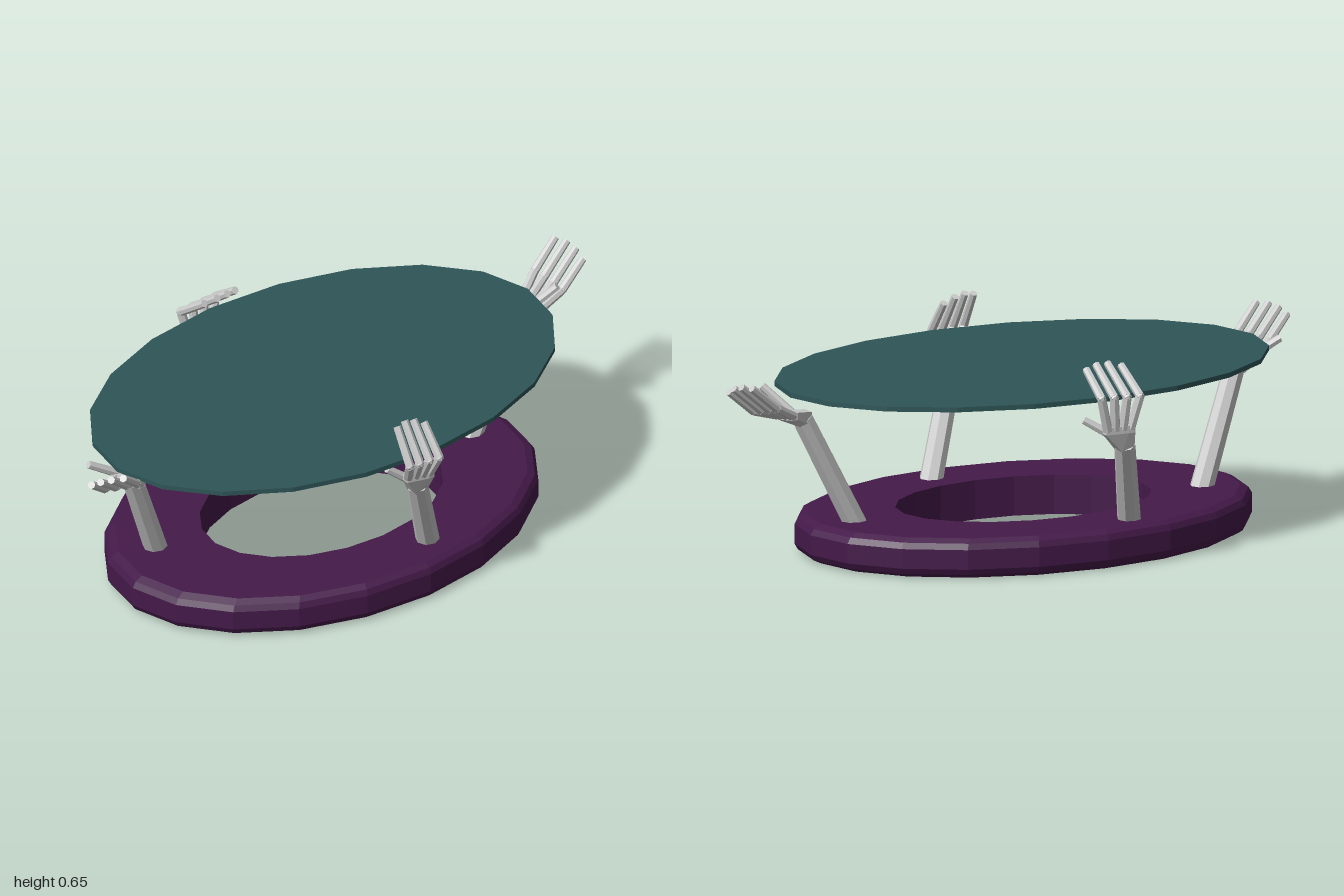
import * as THREE from 'three';
import { ConvexGeometry } from 'three/addons/geometries/ConvexGeometry.js';

const V = (p) => new THREE.Vector3(...p);
const material = (color) => new THREE.MeshStandardMaterial({ color, flatShading: true });

function add(parent, name, geometry, mat) {
  const mesh = new THREE.Mesh(geometry, mat);
  mesh.name = name;
  parent.add(mesh);
  return mesh;
}

// tapered rod between two points
function rod(parent, name, a, b, r0, r1, sides, mat) {
  const dir = b.clone().sub(a);
  const mesh = add(parent, name, new THREE.CylinderGeometry(r1, r0, dir.length(), sides), mat);
  mesh.position.copy(a).addScaledVector(dir, 0.5);
  mesh.quaternion.setFromUnitVectors(new THREE.Vector3(0, 1, 0), dir.normalize());
  return mesh;
}

// corners of a small box around a point, used to hull the palm
function corners(p, r) {
  const out = [];
  for (const x of [-r, r]) for (const y of [-r, r]) for (const z of [-r, r]) {
    out.push(p.clone().add(new THREE.Vector3(x, y, z)));
  }
  return out;
}

// knuckles, bends and tips each give the index finger and the little finger;
// the two fingers between are interpolated
const ARMS = [
  { name: 'frontArm', base: [0.075, 0.08, 0.37], wrist: [-0.06, 0.4, 0.475], thumb: [-0.165, 0.485, 0.46],
    knuckles: [[-0.115, 0.455, 0.5], [-0.045, 0.45, 0.515]],
    bends: [[-0.15, 0.53, 0.55], [-0.045, 0.525, 0.56]],
    tips: [[-0.15, 0.64, 0.49], [-0.05, 0.62, 0.495]] },
  { name: 'backArm', base: [-0.185, 0.08, -0.375], wrist: [-0.08, 0.385, -0.525], thumb: [0.035, 0.46, -0.48],
    knuckles: [[-0.01, 0.435, -0.545], [-0.085, 0.435, -0.55]],
    bends: [[0.02, 0.54, -0.56], [-0.11, 0.535, -0.565]],
    tips: [[0.015, 0.61, -0.46], [-0.105, 0.61, -0.46]] },
  { name: 'leftArm', base: [0.53, 0.08, 0], wrist: [0.735, 0.455, -0.01], thumb: [0.83, 0.55, 0.065],
    knuckles: [[0.795, 0.465, 0.025], [0.79, 0.475, -0.05]],
    bends: [[0.89, 0.49, 0.015], [0.87, 0.515, -0.09]],
    tips: [[0.98, 0.56, 0.005], [0.965, 0.59, -0.105]] },
  { name: 'rightArm', base: [-0.575, 0.08, -0.115], wrist: [-0.74, 0.455, -0.045], thumb: [-0.88, 0.53, -0.075],
    knuckles: [[-0.81, 0.47, -0.035], [-0.77, 0.475, 0.035]],
    bends: [[-0.9, 0.5, 0.025], [-0.835, 0.525, 0.095]],
    tips: [[-0.985, 0.565, 0.065], [-0.92, 0.595, 0.135]] },
];

function makeArm(spec, mat) {
  const arm = new THREE.Group();
  arm.name = spec.name;
  const wrist = V(spec.wrist);
  const at = (pair, t) => V(pair[0]).lerp(V(pair[1]), t);
  rod(arm, 'forearm', V(spec.base), wrist, 0.037, 0.033, 8, mat);

  // palm widening from wrist to knuckles
  add(arm, 'palm', new ConvexGeometry([
    ...corners(wrist, 0.021),
    ...corners(at(spec.knuckles, 0), 0.011),
    ...corners(at(spec.knuckles, 1), 0.011),
  ]), mat);

  // four fingers, each bent once, the middle ones longest
  for (let i = 0; i < 4; i++) {
    const t = i / 3;
    const knuckle = at(spec.knuckles, t), bend = at(spec.bends, t), tip = at(spec.tips, t);
    const reach = tip.clone().sub(bend);
    tip.addScaledVector(reach, 0.13 * Math.sin(Math.PI * t));
    rod(arm, 'fingerLower', knuckle, bend, 0.015, 0.014, 7, mat);
    rod(arm, 'fingerUpper', bend, tip, 0.014, 0.012, 7, mat);
    const joint = add(arm, 'fingerJoint', new THREE.IcosahedronGeometry(0.0145, 0), mat);
    joint.position.copy(bend);
  }
  rod(arm, 'thumb', wrist.clone().lerp(at(spec.knuckles, 0), 0.25), V(spec.thumb), 0.015, 0.012, 7, mat);
  return arm;
}

export function createModel() {
  const model = new THREE.Group();
  model.name = 'ovalTable';
  const purple = material(0x451a4a);
  const teal = material(0x2f5658);
  const grey = material(0xcccccc);

  // oval base ring with chamfered outer edges
  const profile = [
    [0.56, 0], [0.95, 0], [0.985, 0.012], [1, 0.03], [1, 0.09], [0.985, 0.108], [0.95, 0.12], [0.56, 0.12], [0.56, 0],
  ].map(([r, y]) => new THREE.Vector2(r, y));
  const base = add(model, 'baseRing', new THREE.LatheGeometry(profile, 20), purple);
  base.scale.set(0.735, 1, 0.51);
  base.position.x = -0.035;

  // thin oval top
  const top = add(model, 'tableTop', new THREE.CylinderGeometry(1, 1, 0.015, 20), teal);
  top.scale.set(0.8, 1, 0.525);
  top.position.set(-0.03, 0.527, 0);

  // four arms whose hands hold the top
  for (const spec of ARMS) model.add(makeArm(spec, grey));
  return model;
}
